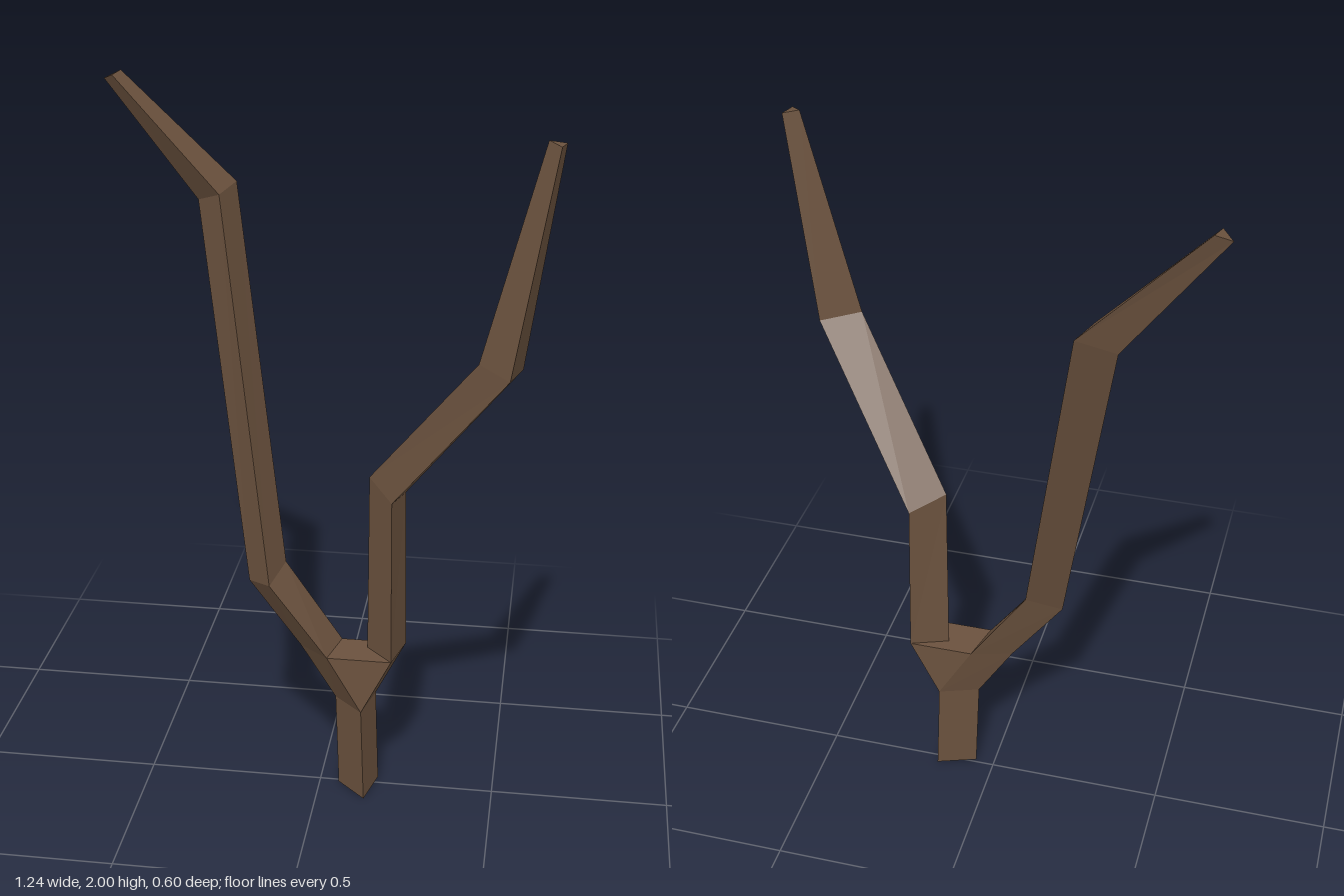
import * as THREE from 'three';

const bark = new THREE.MeshStandardMaterial({ color: 0x6b523e });
bark.name = 'barkBrown';

// Joins three-cornered rings into a closed, faceted limb.
// Corners run counter-clockwise as seen from the last ring's end.
function limb(name, rings) {
  const pos = [];
  const tri = (...pts) => pts.forEach((p) => pos.push(...p));
  for (let r = 0; r < rings.length - 1; r++) {
    const low = rings[r], high = rings[r + 1];
    for (let i = 0; i < 3; i++) {
      const j = (i + 1) % 3;
      tri(low[i], low[j], high[j]);
      tri(low[i], high[j], high[i]);
    }
  }
  const [a, b, c] = rings[0];
  tri(c, b, a);
  tri(...rings[rings.length - 1]);
  const geo = new THREE.BufferGeometry();
  geo.setAttribute('position', new THREE.Float32BufferAttribute(pos, 3));
  geo.computeVertexNormals();
  const mesh = new THREE.Mesh(geo, bark);
  mesh.name = name;
  return mesh;
}

export function createModel() {
  const group = new THREE.Group();
  group.name = 'bareBranch';

  // Ring corners: front, right rear, left
  const base = [[0.137, 0, 0.09], [0.166, 0, -0.03], [0.055, 0, 0.01]];
  const fork = [[0.127, 0.285, 0.09], [0.156, 0.285, -0.03], [0.045, 0.285, 0.01]];
  const leftRoot = [[0.03, 0.452, 0.09], [0.058, 0.452, -0.03], [-0.055, 0.445, 0.01]];
  const rightRoot = [[0.21, 0.452, 0.09], [0.24, 0.452, -0.03], [0.135, 0.452, 0.01]];

  group.add(limb('trunk', [base, fork]));

  // Wedge filling the crotch between the two limbs
  group.add(limb('forkWedge', [
    [fork[1], rightRoot[1], leftRoot[1]],
    [fork[0], rightRoot[0], leftRoot[0]],
  ]));

  // Tall limb leaning to -x and to the rear
  group.add(limb('tallLimb', [
    fork,
    leftRoot,
    [[-0.13, 0.665, 0.09], [-0.102, 0.685, -0.03], [-0.2, 0.64, 0.01]],
    [[-0.302, 1.69, -0.183], [-0.275, 1.7, -0.298], [-0.375, 1.655, -0.258]],
    [[-0.592, 1.995, -0.22], [-0.58, 2.0, -0.27], [-0.622, 1.98, -0.25]],
  ]));

  // Shorter limb leaning to +x and to the front
  group.add(limb('shortLimb', [
    rightRoot,
    [[0.205, 0.935, 0.09], [0.232, 0.92, -0.03], [0.135, 0.975, 0.01]],
    [[0.512, 1.375, 0.297], [0.54, 1.368, 0.18], [0.43, 1.39, 0.22]],
    [[0.608, 1.952, 0.258], [0.62, 1.952, 0.212], [0.576, 1.96, 0.225]],
  ]));

  return group;
}
